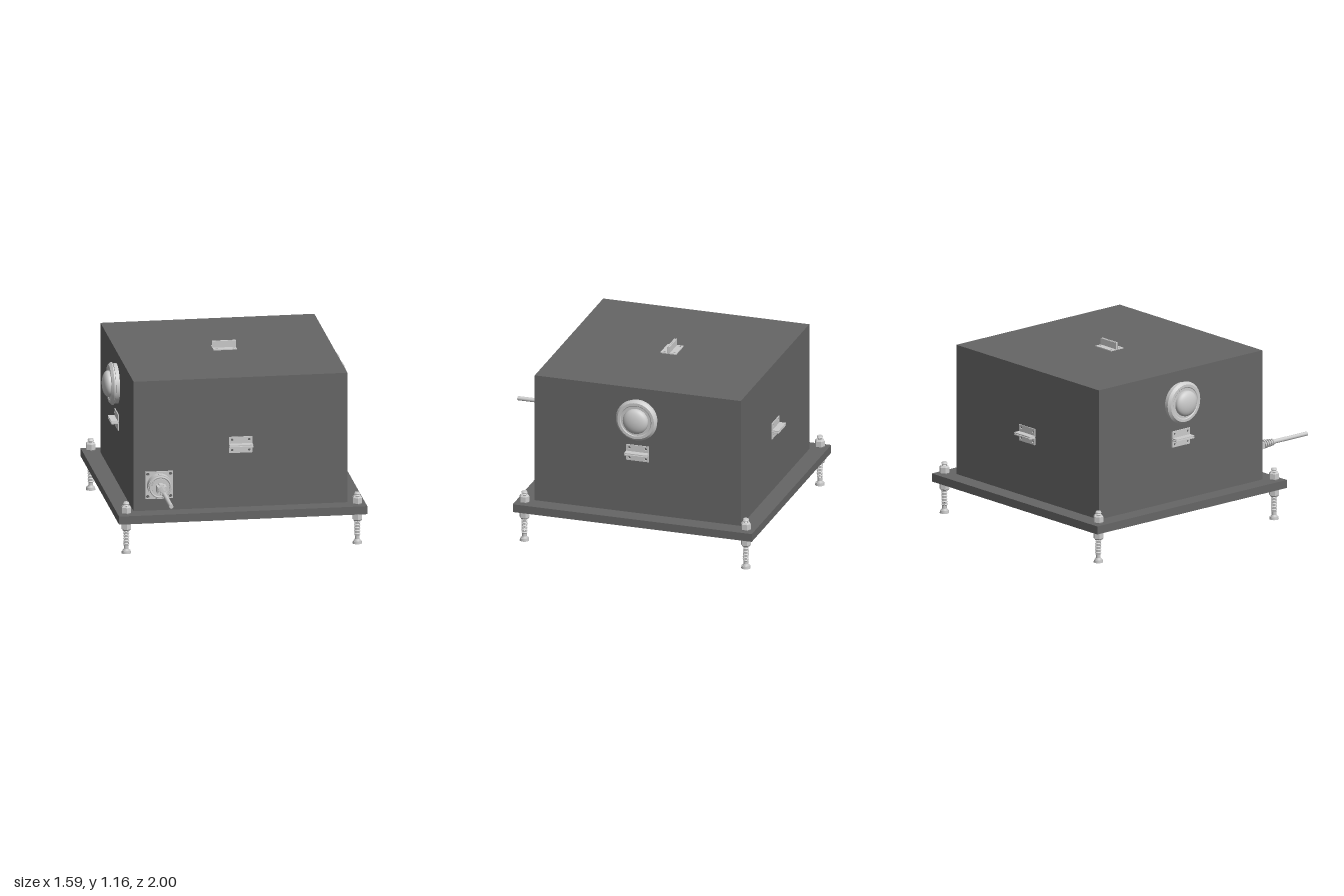
import * as THREE from 'three';

const grey = new THREE.MeshStandardMaterial({ color: 0xcccccc });
const greyFlat = new THREE.MeshStandardMaterial({ color: 0xcccccc, flatShading: true });
const dark = new THREE.MeshStandardMaterial({ color: 0x666666 });

function add(parent, name, geometry, x = 0, y = 0, z = 0, material = grey) {
  const mesh = new THREE.Mesh(geometry, material);
  mesh.name = name;
  mesh.position.set(x, y, z);
  parent.add(mesh);
  return mesh;
}
const box = (w, h, d) => new THREE.BoxGeometry(w, h, d);
const cyl = (r1, r2, h, n = 32) => new THREE.CylinderGeometry(r1, r2, h, n);
const zCyl = (r1, r2, h, n) => cyl(r1, r2, h, n).rotateX(Math.PI / 2);
const lathe = (pts, n = 48) => new THREE.LatheGeometry(pts.map(p => new THREE.Vector2(...p)), n);

// Flat plate in the xy plane, pierced by round holes, back face at z = 0
function drilledPlate(w, h, depth, holes, r) {
  const s = new THREE.Shape();
  s.moveTo(-w / 2, -h / 2).lineTo(w / 2, -h / 2).lineTo(w / 2, h / 2).lineTo(-w / 2, h / 2).closePath();
  for (const [x, y] of holes) {
    s.holes.push(new THREE.Path().absarc(x, y, r, 0, Math.PI * 2, true));
  }
  return new THREE.ExtrudeGeometry(s, { depth, bevelEnabled: false, curveSegments: 12 });
}

// Two angle brackets back to back, standing out along +z
function makeBracket(name) {
  const g = new THREE.Group();
  g.name = name;
  for (const s of [1, -1]) {
    add(g, 'bracketFoot', drilledPlate(0.15, 0.048, 0.006, [[-0.055, s * 0.005], [0.055, s * 0.005]], 0.008), 0, s * 0.029, 0);
    add(g, 'bracketFin', box(0.15, 0.007, 0.048), 0, s * 0.0055, 0.024);
  }
  return g;
}

// Round dome with a grooved double flange, axis along +y before turning
function makeDome(name) {
  const g = new THREE.Group();
  g.name = name;
  const sharp = pts => {
    // Separate bands keep the rims crisp
    for (let i = 0; i < pts.length - 1; i++) add(g, 'flange', lathe([pts[i], pts[i + 1]]));
  };
  sharp([[0.128, 0], [0.128, 0.024], [0.118, 0.024], [0.118, 0.03], [0.137, 0.03],
    [0.137, 0.036], [0.122, 0.052], [0.105, 0.052], [0.1, 0.048], [0.08, 0.048]]);
  const cap = [[0.083, 0.046], [0.083, 0.058]];
  for (let i = 1; i <= 12; i++) {
    const a = (i / 12) * Math.PI / 2;
    cap.push([Math.max(0.083 * Math.cos(a), 0), 0.058 + 0.038 * Math.sin(a)]);
  }
  add(g, 'domeCap', lathe(cap));
  return g;
}

// Levelling foot: head, threaded stud and a nut on each side of the plate
function makeFoot() {
  const g = new THREE.Group();
  g.name = 'levellingFoot';
  add(g, 'footPad', cyl(0.028, 0.03, 0.018, 24), 0, 0.009, 0);
  add(g, 'padCollar', cyl(0.016, 0.022, 0.012, 24), 0, 0.024, 0);
  add(g, 'stud', cyl(0.015, 0.015, 0.31, 20), 0, 0.175, 0);
  const thread = (y0, count) => {
    const pts = [[0.015, y0]];
    for (let i = 0; i < count; i++) {
      pts.push([0.02, y0 + (i + 0.5) * 0.01], [0.015, y0 + (i + 1) * 0.01]);
    }
    add(g, 'thread', lathe(pts, 20), 0, 0, 0, greyFlat);
  };
  thread(0.05, 10);
  thread(0.31, 2);
  const nut = () => lathe([[0, 0], [0.026, 0], [0.033, 0.009], [0.033, 0.045], [0.026, 0.054], [0, 0.054]], 6);
  add(g, 'upperNut', nut(), 0, 0.258, 0, greyFlat);
  add(g, 'lowerNut', nut(), 0, 0.151, 0, greyFlat);
  add(g, 'studTip', cyl(0.016, 0.019, 0.006, 20), 0, 0.333, 0);
  return g;
}

// Panel connector with plug, strain relief and cable along +z
function makeConnector() {
  const g = new THREE.Group();
  g.name = 'cableConnector';
  const c = 0.073;
  add(g, 'mountPlate', drilledPlate(0.178, 0.178, 0.01, [[-c, -c], [c, -c], [c, c], [-c, c]], 0.011));
  add(g, 'socketBody', zCyl(0.078, 0.078, 0.052, 40), 0, 0, 0.034);
  add(g, 'socketRim', new THREE.TorusGeometry(0.066, 0.006, 8, 40), 0, 0, 0.061);
  add(g, 'socketFace', zCyl(0.055, 0.055, 0.008, 40), 0, 0, 0.062);
  add(g, 'keyTab', box(0.016, 0.012, 0.02), 0, 0.076, 0.05);
  add(g, 'plugBody', box(0.06, 0.042, 0.075), 0, 0, 0.1);
  add(g, 'plugLatch', box(0.026, 0.008, 0.055), 0, 0.025, 0.09);
  add(g, 'reliefSleeve', zCyl(0.016, 0.02, 0.1, 20), 0, 0, 0.187);
  for (let i = 0; i < 5; i++) {
    add(g, 'reliefRing', zCyl(0.029 - i * 0.0017, 0.029 - i * 0.0017, 0.008, 20), 0, 0, 0.15 + i * 0.018);
  }
  add(g, 'cable', zCyl(0.0135, 0.0135, 0.38, 20), 0, 0, 0.325);
  return g;
}

export function createModel() {
  const model = new THREE.Group();
  model.name = 'sensorBox';
  const midZ = -0.203;

  // Housing on its base plate
  add(model, 'basePlate', box(1.59, 0.053, 1.595), 0, 0.2315, midZ, dark);
  add(model, 'housing', box(1.37, 0.852, 1.375), 0, 0.684, midZ, dark);

  // Brackets on four walls and the lid
  const place = (name, x, y, z, rx, ry) => {
    const b = makeBracket(name);
    b.position.set(x, y, z);
    b.rotation.set(rx, ry, 0);
    model.add(b);
  };
  place('frontBracket', 0, 0.668, 0.4845, 0, 0);
  place('backBracket', 0, 0.668, -0.8905, 0, Math.PI);
  place('leftBracket', 0.685, 0.668, midZ, 0, Math.PI / 2);
  place('rightBracket', -0.685, 0.668, midZ, 0, -Math.PI / 2);
  place('topBracket', 0, 1.11, midZ, -Math.PI / 2, 0);

  // Side domes
  for (const s of [1, -1]) {
    const dome = makeDome(s > 0 ? 'leftDome' : 'rightDome');
    dome.position.set(s * 0.685, 0.905, midZ - 0.003);
    dome.rotation.z = -s * Math.PI / 2;
    model.add(dome);
  }

  // Levelling feet at the plate corners
  for (const x of [-0.74, 0.74]) {
    for (const z of [0.535, -0.943]) {
      const foot = makeFoot();
      foot.position.set(x, 0, z);
      model.add(foot);
    }
  }

  const connector = makeConnector();
  connector.position.set(-0.523, 0.426, 0.485);
  model.add(connector);

  // Tiny pin holes in the front wall
  for (const x of [0.205, 0.235, 0.3, 0.335]) {
    add(model, 'pinHole', zCyl(0.004, 0.004, 0.002, 10), x, 0.668, 0.4845, dark);
  }
  return model;
}
